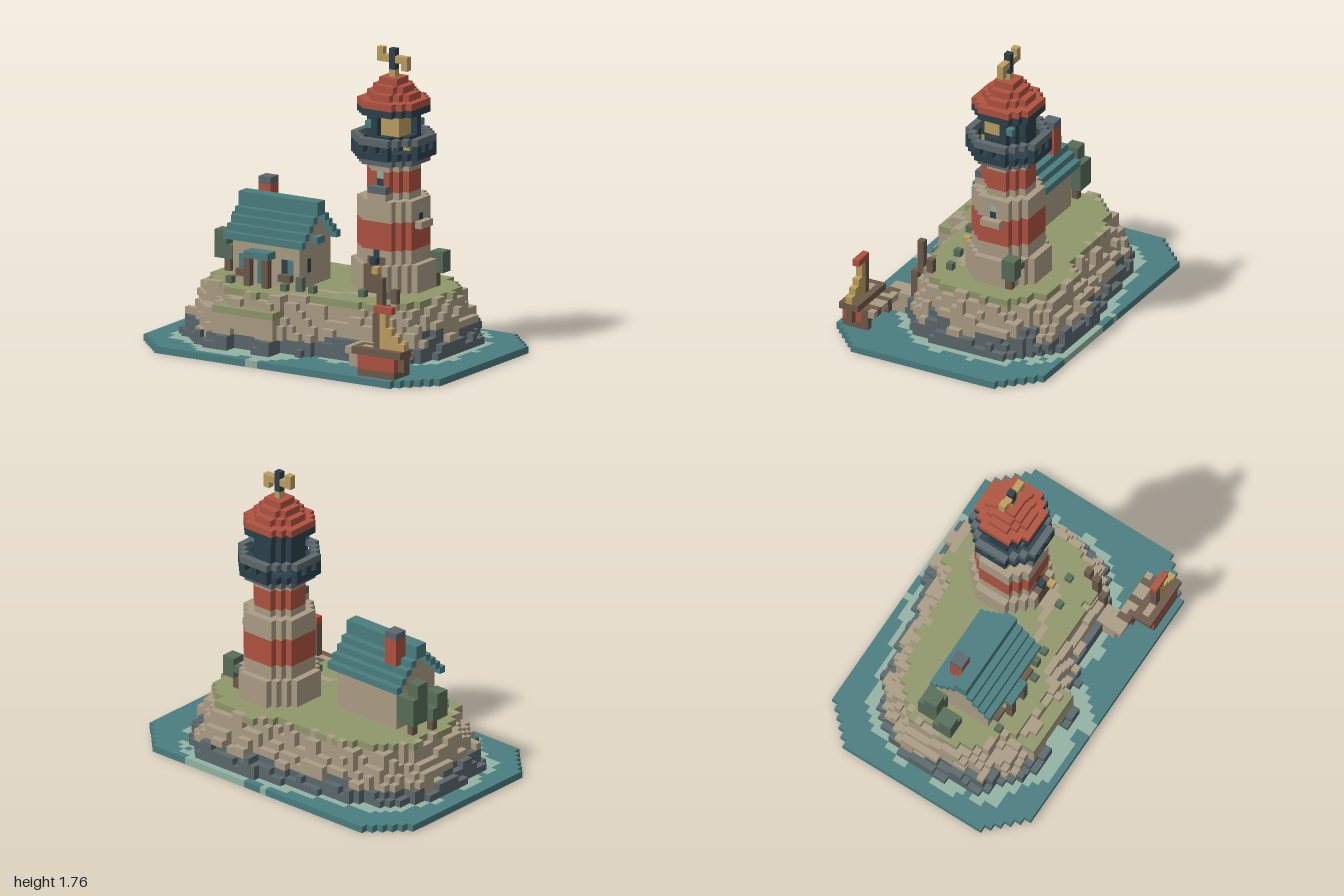
import * as THREE from 'three';

const V = 2 / 49; // edge of one block

const mat = (name, color) => {
  const m = new THREE.MeshStandardMaterial({ color });
  m.name = name;
  return m;
};
const sea = mat('sea teal', 0x4a7e80), foam = mat('foam', 0x92b3a4), rock = mat('sandstone', 0xab9d85),
  slate = mat('slate', 0x5b686c), grass = mat('grass', 0x90976a), red = mat('red', 0xb05340),
  navy = mat('navy', 0x2c404a), gold = mat('gold', 0xbd9f60), wood = mat('wood', 0x6d5a4a), leaf = mat('leaf', 0x596d59);

// Repeatable noise, 0..1
const noise = (a, b, c) => {
  const s = Math.sin(a * 127.1 + b * 311.7 + c * 74.7) * 43758.5453;
  return s - Math.floor(s);
};

// A part made of blocks; block (0, 0, 0) stands at the centre of the ground
class Blocks {
  constructor() { this.cells = new Map(); }
  has(x, y, z) { return this.cells.has(`${x},${y},${z}`); }
  set(x, y, z, m) {
    if (m) this.cells.set(`${x},${y},${z}`, m);
    else this.cells.delete(`${x},${y},${z}`);
  }
  box(x0, x1, y0, y1, z0, z1, m) {
    for (let x = x0; x <= x1; x++) for (let y = y0; y <= y1; y++) for (let z = z0; z <= z1; z++) this.set(x, y, z, m);
  }
  octagon(cx, cz, r, y0, y1, m, keep = () => true) {
    for (let a = -r; a <= r; a++) for (let b = -r; b <= r; b++) {
      if (Math.abs(a) + Math.abs(b) > Math.floor(r * 1.5) || !keep(a, b)) continue;
      this.box(cx + a, cx + a, y0, y1, cz + b, cz + b, m);
    }
  }
  // One mesh per colour, outer faces only
  build(name) {
    const group = new THREE.Group(), byMat = new Map();
    group.name = name;
    for (const [key, m] of this.cells) {
      const c = key.split(',').map(Number);
      if (!byMat.has(m)) byMat.set(m, { pos: [], nor: [], idx: [] });
      const g = byMat.get(m);
      for (let a = 0; a < 3; a++) for (const s of [-1, 1]) {
        const n = [0, 0, 0];
        n[a] = s;
        if (this.has(c[0] + n[0], c[1] + n[1], c[2] + n[2])) continue;
        const base = g.pos.length / 3;
        for (const [u, v] of [[-1, -1], [1, -1], [1, 1], [-1, 1]]) {
          const p = [c[0], c[1] + 0.5, c[2]];
          p[a] += s / 2;
          p[(a + 1) % 3] += u / 2;
          p[(a + 2) % 3] += v / 2;
          g.pos.push(p[0] * V, p[1] * V, p[2] * V);
          g.nor.push(...n);
        }
        g.idx.push(...(s > 0 ? [0, 1, 2, 0, 2, 3] : [0, 2, 1, 0, 3, 2]).map(i => base + i));
      }
    }
    for (const [m, g] of byMat) {
      const geo = new THREE.BufferGeometry();
      geo.setAttribute('position', new THREE.Float32BufferAttribute(g.pos, 3));
      geo.setAttribute('normal', new THREE.Float32BufferAttribute(g.nor, 3));
      geo.setIndex(g.idx);
      const mesh = new THREE.Mesh(geo, m);
      mesh.name = `${name} ${m.name}`;
      group.add(mesh);
    }
    return group;
  }
}

// Island outline: foot x, z and plateau x, z
const SHORE = [
  [-21, -5, -18, -4], [-18, -9.7, -15, -7.7], [-13, -12.6, -11, -9.7], [-5, -13.4, -4, -10.5], [1, -14.7, 1, -11],
  [4, -16, 4, -12.6], [12, -15.7, 11, -12.6], [15.2, -13, 14, -10], [18, -9.7, 16, -7.7], [19, -4, 16.2, -3],
  [19, 1, 16, 1], [17, 5.5, 14.5, 4], [13, 9, 12, 6.5], [7, 10, 7, 7.5], [3, 9.5, 2, 7.5], [0, 12, -2, 8.5],
  [-3, 14, -4, 10], [-11, 14, -11, 10], [-15.5, 12, -14, 8], [-20, 8.7, -17.5, 6], [-21, 3.4, -18.5, 3]];

// Is (x, z) inside the outline at height t (0 foot, 1 plateau)?
function inside(x, z, t) {
  let hit = false;
  const at = i => {
    const [a, b, c, d] = SHORE[(i + SHORE.length) % SHORE.length];
    return [a + (c - a) * t, b + (d - b) * t];
  };
  for (let i = 0; i < SHORE.length; i++) {
    const [x1, z1] = at(i), [x2, z2] = at(i - 1);
    if ((z1 > z) !== (z2 > z) && x < (x2 - x1) * (z - z1) / (z2 - z1) + x1) hit = !hit;
  }
  return hit;
}

function makeSea() {
  const b = new Blocks();
  for (let x = -24; x <= 24; x++) for (let z = -16; z <= 16; z++) {
    if (Math.abs(x) + Math.abs(z) > 35) continue;
    const t = -0.15 - 0.5 * noise(x >> 1, 1, z >> 1);
    b.set(x, 0, z, inside(x, z, t) ? foam : sea);
  }
  return b.build('sea');
}

function makeIsland() {
  const b = new Blocks();
  for (let y = 1; y <= 8; y++) for (let x = -24; x <= 24; x++) for (let z = -16; z <= 16; z++) {
    const t = (y - 1) / 7 + (noise(x >> 1, y >> 1, z >> 1) - 0.5) * 0.4;
    if (!inside(x, z, Math.max(0, t))) continue;
    const wet = y + 2 * noise(x >> 2, 5, z >> 2) < (x > 3 ? 4.4 : 3.6);
    const rim = y === 8 && !inside(x, z, 1.15) && noise(x, 3, z) > 0.4;
    b.set(x, y, z, y === 8 && !rim ? grass : wet ? slate : rock);
  }
  // Front ledge with sea caves
  b.box(-12, -3, 3, 5, 9, 12, rock);
  b.box(-12, -3, 6, 6, 10, 12, grass);
  b.box(-9, -6, 1, 3, 12, 15, null);
  b.box(-2, 0, 1, 2, 11, 15, null);
  // Footpath
  for (let x = 0; x <= 9; x++) b.set(x, 8, 4 - (x >> 2), rock);
  b.box(6, 8, 8, 8, 2, 3, rock);
  return b.build('island');
}

function makeLighthouse() {
  const b = new Blocks(), X = 7, Z = -4;
  const tiers = [[5, 9, 12, rock], [4, 13, 14, rock], [4, 15, 18, red], [4, 19, 21, rock], [3, 22, 22, rock],
    [3, 23, 25, red], [3, 26, 26, rock], [4, 27, 27, slate], [5, 28, 28, navy], [3, 29, 33, navy],
    [4, 34, 34, navy], [4, 35, 35, red], [3, 36, 36, red], [2, 37, 37, red], [1, 38, 38, red]];
  for (const [r, y0, y1, m] of tiers) b.octagon(X, Z, r, y0, y1, m);
  b.box(X - 1, X + 1, 38, 38, Z - 1, Z + 1, red);
  // Gallery railing
  const ring = (a, c) => Math.max(Math.abs(a), Math.abs(c)) === 5 || Math.abs(a) + Math.abs(c) > 6;
  b.octagon(X, Z, 5, 29, 29, navy, (a, c) => (Math.abs(a) === 5 && c % 2 === 0) || (Math.abs(c) === 5 && a % 2 === 0));
  b.octagon(X, Z, 5, 30, 30, slate, ring);
  // Lamp and its opening
  b.box(5, 9, 31, 33, -6, -2, gold);
  b.box(7, 8, 31, 33, -1, -1, null);
  b.box(10, 10, 31, 33, -4, -3, null);
  b.box(5, 6, 31, 33, -2, -2, navy);
  b.box(9, 9, 31, 33, -6, -5, navy);
  b.box(5, 6, 31, 33, -6, -6, navy);
  b.box(5, 5, 31, 33, -6, -3, navy);
  b.set(5, 32, -1, sea);
  b.set(10, 32, -6, sea);
  b.set(8, 29, -1, gold);
  b.set(10, 29, -3, gold);
  // Door with lantern
  b.box(6, 8, 9, 12, 1, 1, wood);
  b.box(6, 8, 13, 13, 0, 0, wood);
  b.set(7, 13, 1, navy);
  b.set(7, 14, 0, navy);
  b.set(8, 12, 2, gold);
  // Front and side windows with sills
  b.set(7, 25, -1, foam);
  b.set(7, 24, -1, navy);
  b.box(6, 8, 23, 23, 0, 0, slate);
  b.box(6, 8, 22, 22, 0, 0, rock);
  b.set(11, 20, Z, foam);
  b.set(11, 19, Z, navy);
  b.box(12, 12, 18, 18, Z - 1, Z + 1, rock);
  // Weather vane
  b.set(X, 39, Z, gold);
  b.box(5, 9, 41, 41, Z, Z, gold);
  b.set(5, 42, Z, gold);
  b.set(9, 40, Z, gold);
  b.box(X, X, 40, 42, Z, Z, navy);
  return b.build('lighthouse');
}

function makeHouse() {
  const b = new Blocks();
  b.box(-13, -3, 9, 14, -2, 5, rock);
  // Stepped roof over the gables
  for (let y = 15; y <= 18; y++) {
    const d = 18 - y;
    b.box(-13, -3, y, y, 1 - d, 2 + d, rock);
    for (const z of [-d, 3 + d]) b.box(-14, -2, y, y, z, z, sea);
  }
  b.box(-14, -2, 19, 20, 1, 2, sea);
  // Chimney
  b.box(-12, -11, 18, 21, -1, 0, red);
  b.box(-12, -11, 22, 22, -1, 0, slate);
  // Porch and door
  b.box(-10, -7, 13, 13, 6, 7, sea);
  for (const x of [-10, -7]) b.box(x, x, 9, 12, 7, 7, wood);
  b.box(-9, -8, 9, 12, 5, 5, sea);
  b.set(-8, 11, 5, gold);
  // Shuttered windows with boxes below
  for (const [x, s] of [[-11, -12], [-5, -4]]) {
    b.box(x, x, 11, 12, 5, 5, navy);
    b.box(s, s, 11, 12, 5, 5, sea);
    b.box(Math.min(x, s), Math.max(x, s), 10, 10, 6, 6, wood);
  }
  b.box(-3, -3, 11, 12, 3, 3, navy);
  b.box(-2, -2, 15, 15, 1, 2, sea);
  return b.build('cottage');
}

function makePlants() {
  const b = new Blocks();
  // Trees by the cottage
  for (const [x, z, h] of [[-16, -2, 16], [-17, 1, 14]]) {
    b.box(x, x, 9, 12, z, z, wood);
    b.box(x - 1, x + 1, 11, h - 2, z - 1, z + 1, leaf);
    b.box(x - 1, x, h - 1, h, z, z + 1, leaf);
  }
  // Tree behind the lighthouse
  b.box(12, 12, 9, 12, -7, -7, wood);
  b.box(12, 13, 11, 13, -8, -7, leaf);
  b.set(11, 12, -8, leaf);
  // Bushes
  for (const [x, y, z] of [[-2, 9, 6], [-2, 10, 6], [0, 9, 6], [7, 9, 4], [-13, 9, 7], [-4, 9, 7], [11, 9, 3]]) b.set(x, y, z, leaf);
  return b.build('plants');
}

function makeLanding() {
  const b = new Blocks();
  b.box(10, 12, 1, 3, 8, 11, rock);
  for (let x = 10; x <= 19; x++) b.box(x, x, 3, 3, 11, 12, x % 3 ? rock : wood);
  for (const x of [13, 19]) b.box(x, x, 1, 3, 12, 12, wood);
  // Ladder posts up the cliff
  b.box(12, 12, 3, 7, 8, 8, wood);
  b.box(12, 12, 8, 12, 7, 7, wood);
  b.box(13, 13, 7, 10, 5, 5, wood);
  return b.build('landing');
}

function makeBoat() {
  const b = new Blocks();
  b.box(14, 19, 1, 1, 13, 15, wood);
  b.box(14, 19, 2, 3, 13, 15, red);
  b.box(13, 20, 4, 4, 13, 15, wood);
  b.box(14, 19, 4, 4, 14, 14, rock);
  b.box(20, 20, 2, 3, 14, 14, wood);
  // Mast, sail and flag
  b.box(16, 16, 4, 9, 14, 14, wood);
  [4, 3, 2, 1, 1].forEach((w, i) => b.box(17, 16 + w, 5 + i, 5 + i, 14, 14, gold));
  b.box(16, 18, 10, 10, 14, 14, red);
  return b.build('boat');
}

export function createModel() {
  const model = new THREE.Group();
  model.name = 'lighthouse island';
  model.add(makeSea(), makeIsland(), makeLighthouse(), makeHouse(), makePlants(), makeLanding(), makeBoat());
  return model;
}
